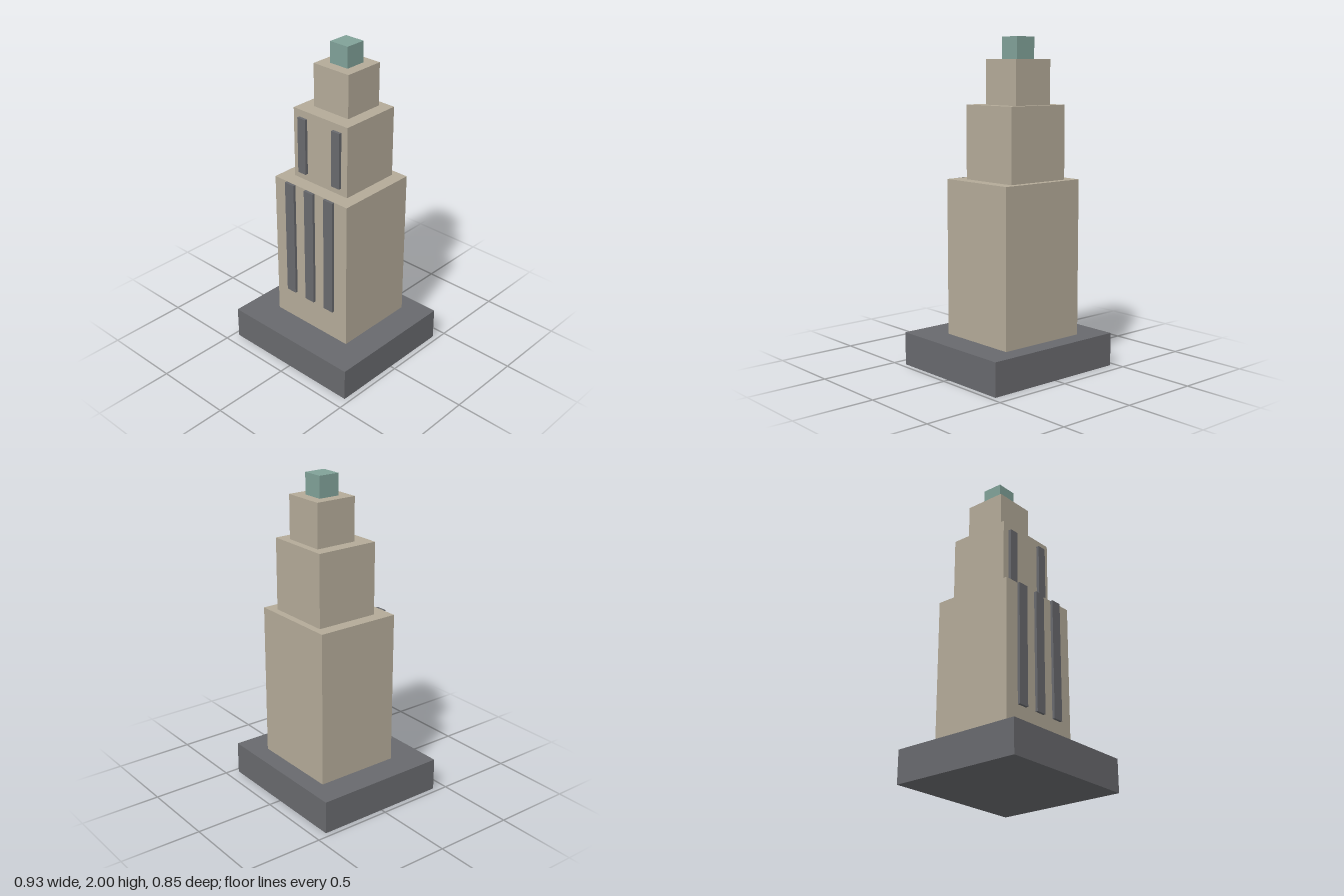
import * as THREE from 'three';

export function createModel() {
  const model = new THREE.Group();
  model.name = 'steppedTower';

  const material = (name, color) => {
    const m = new THREE.MeshStandardMaterial({ color });
    m.name = name;
    return m;
  };
  const stone = material('beige stone', 0xb3aa98);
  const slate = material('dark slate', 0x68696d);
  const patina = material('green patina', 0x80a198);

  // Box given by its centre x, width and its extents in y and z
  const block = (name, mat, x, width, y0, y1, z0, z1) => {
    const mesh = new THREE.Mesh(new THREE.BoxGeometry(width, y1 - y0, z1 - z0), mat);
    mesh.position.set(x, (y0 + y1) / 2, (z0 + z1) / 2);
    mesh.name = name;
    model.add(mesh);
  };

  // Plinth, three set-back tiers and the cap
  block('plinth', slate, 0, 0.934, 0, 0.204, -0.424, 0.424);
  block('lowerTier', stone, 0, 0.578, 0.204, 1.158, -0.312, 0.221);
  block('middleTier', stone, 0, 0.422, 1.158, 1.603, -0.268, 0.132);
  block('upperTier', stone, 0, 0.268, 1.603, 1.87, -0.223, 0.042);
  block('cap', patina, 0, 0.134, 1.87, 2, -0.157, -0.024);

  // Tall window strips on the front
  for (const x of [-0.156, 0, 0.156]) {
    block('lowerWindowStrip', slate, x, 0.071, 0.4, 1.157, 0.2, 0.238);
  }
  for (const x of [-0.134, 0.134]) {
    block('middleWindowStrip', slate, x, 0.061, 1.204, 1.558, 0.112, 0.151);
  }
  return model;
}
